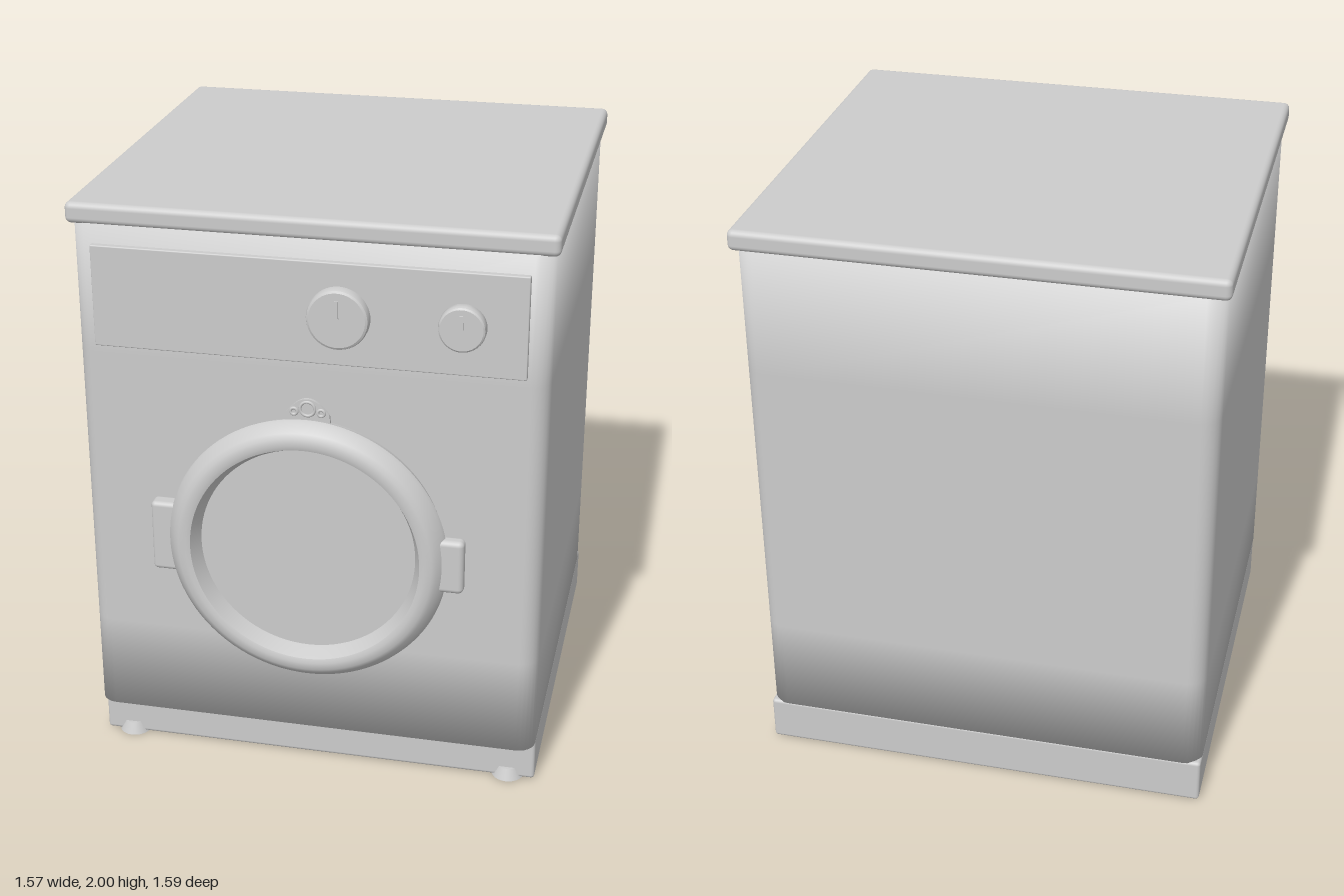
import * as THREE from 'three';
import { toCreasedNormals } from 'three/addons/utils/BufferGeometryUtils.js';
import { RoundedBoxGeometry } from 'three/addons/geometries/RoundedBoxGeometry.js';

const enamel = new THREE.MeshStandardMaterial({ color: 0xcccccc });
enamel.name = 'grey enamel';

function add(parent, name, geometry, x = 0, y = 0, z = 0) {
  const mesh = new THREE.Mesh(geometry, enamel);
  mesh.name = name;
  mesh.position.set(x, y, z);
  parent.add(mesh);
  return mesh;
}

// Rounded box given by its lower and upper corners
function block(parent, name, lo, hi, radius) {
  const s = hi.map((v, i) => v - lo[i]);
  const c = hi.map((v, i) => (v + lo[i]) / 2);
  return add(parent, name, new RoundedBoxGeometry(s[0], s[1], s[2], 3, radius), ...c);
}

// Turned part with its axis along +z; profile of [radius, z] from back to front
function turned(profile, segments = 64) {
  const points = profile.map(([r, z]) => new THREE.Vector2(r, z));
  const geometry = new THREE.LatheGeometry(points, segments).rotateX(Math.PI / 2);
  return toCreasedNormals(geometry, 0.5);
}

// Cabinet shell: rounded-corner rings stacked upward, softly shaded into the caps
function cabinetGeometry(hx, zBack, zFront, heights, r) {
  const ring = [];
  const corners = [[1, 1], [-1, 1], [-1, -1], [1, -1]];
  corners.forEach(([sx, sz], q) => {
    const cx = sx * (hx - r);
    const cz = sz > 0 ? zFront - r : zBack + r;
    for (let k = 0; k <= 6; k++) {
      const a = (q + k / 6) * Math.PI / 2;
      ring.push([cx + r * Math.cos(a), cz + r * Math.sin(a)]);
    }
  });
  const n = ring.length, rows = heights.length;
  const positions = [], index = [];
  heights.forEach((y) => ring.forEach(([x, z]) => positions.push(x, y, z)));
  const zMid = (zBack + zFront) / 2;
  positions.push(0, heights[0], zMid, 0, heights[rows - 1], zMid);
  const bottom = n * rows, top = bottom + 1, last = n * (rows - 1);
  for (let i = 0; i < n; i++) {
    const j = (i + 1) % n;
    for (let k = 0; k < rows - 1; k++) {
      const a = k * n + i, b = k * n + j;
      index.push(a, a + n, b, b, a + n, b + n);
    }
    index.push(bottom, i, j, top, last + j, last + i);
  }
  const geometry = new THREE.BufferGeometry();
  geometry.setAttribute('position', new THREE.Float32BufferAttribute(positions, 3));
  geometry.setIndex(index);
  geometry.computeVertexNormals();
  return geometry;
}

// Dial with rounded rim, short stem and a pointer rib
function knob(parent, name, x, y, r) {
  const group = new THREE.Group();
  group.name = name;
  group.position.set(x, y, 0.715);
  add(group, name + 'Dial', turned([
    [r * 0.85, 0], [r * 0.85, 0.01], [r * 0.95, 0.012], [r, 0.02], [r, 0.044],
    [r * 0.97, 0.052], [r * 0.9, 0.056], [0, 0.056],
  ], 48));
  add(group, name + 'Pointer', new THREE.BoxGeometry(0.012, r * 0.6, 0.008), 0, r * 0.35, 0.059);
  parent.add(group);
}

export function createModel() {
  const model = new THREE.Group();
  model.name = 'washingMachine';

  // Cabinet, worktop and recessed plinth
  add(model, 'cabinet', cabinetGeometry(0.77, -0.775, 0.7, [0.16, 0.5, 1.5, 1.935], 0.06));
  block(model, 'worktop', [-0.785, 1.93, -0.79], [0.785, 2, 0.705], 0.02);
  block(model, 'plinth', [-0.77, 0.004, -0.775], [0.77, 0.165, 0.63], 0.012);

  // Front feet peeking out under the plinth
  for (const side of [-1, 1]) {
    add(model, side > 0 ? 'leftFoot' : 'rightFoot',
      new THREE.CylinderGeometry(0.038, 0.055, 0.04, 24), side * 0.675, 0.02, 0.603);
  }

  // Control panel with two dials
  block(model, 'controlPanel', [-0.7, 1.53, 0.69], [0.7, 1.87, 0.72], 0.004);
  knob(model, 'programmeKnob', 0.11, 1.7, 0.1);
  knob(model, 'temperatureKnob', 0.5, 1.7, 0.075);

  // Round door: chamfered ring and recessed window
  const door = new THREE.Group();
  door.name = 'door';
  door.position.set(0, 0.87, 0);
  model.add(door);
  add(door, 'doorRing', turned([
    [0.455, 0.69], [0.46, 0.72], [0.47, 0.738], [0.465, 0.752], [0.44, 0.782], [0.425, 0.792],
    [0.4, 0.795], [0.385, 0.79], [0.365, 0.745], [0.36, 0.73],
  ], 96));
  add(door, 'doorWindow', new THREE.CircleGeometry(0.365, 96), 0, 0, 0.735);

  // Hinge on one side, grip on the other
  block(model, 'hinge', [-0.53, 0.745, 0.69], [-0.44, 0.995, 0.748], 0.015);
  block(model, 'doorHandle', [0.43, 0.775, 0.715], [0.525, 0.965, 0.765], 0.018);

  // Small catch plate above the door, with raised rings
  const plate = new THREE.Shape();
  plate.moveTo(-0.075, 1.32);
  plate.lineTo(0.075, 1.32);
  plate.lineTo(0.072, 1.35);
  plate.quadraticCurveTo(0.05, 1.375, 0.038, 1.385);
  plate.quadraticCurveTo(0, 1.415, -0.038, 1.385);
  plate.quadraticCurveTo(-0.05, 1.375, -0.072, 1.35);
  add(model, 'catchPlate', new THREE.ExtrudeGeometry(plate, { depth: 0.015, bevelEnabled: false }), 0, 0, 0.695);
  for (const [x, y, r] of [[0, 1.366, 0.024], [-0.045, 1.355, 0.011], [0.045, 1.355, 0.011]]) {
    add(model, 'catchRing', new THREE.TorusGeometry(r, 0.005, 8, 24), x, y, 0.71);
  }

  return model;
}
